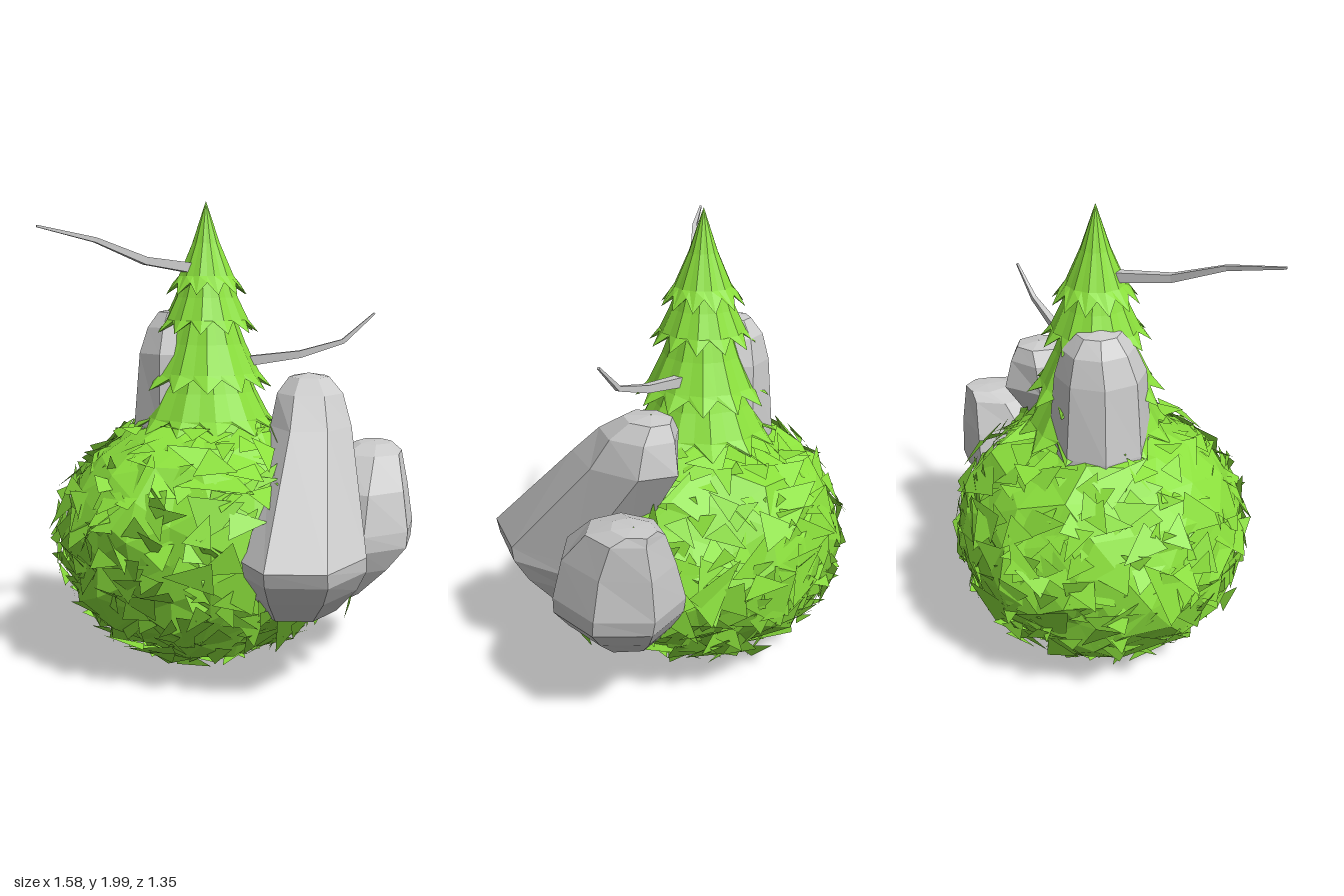
import * as THREE from 'three';

const green = new THREE.MeshStandardMaterial({ color: 0x8be03c, flatShading: true, side: THREE.DoubleSide });
const grey = new THREE.MeshStandardMaterial({ color: 0xcccccc, flatShading: true });

// small seeded random source
function seeded(seed) {
  let s = seed;
  return () => {
    s = (s * 16807) % 2147483647;
    return s / 2147483647;
  };
}

function facets(points) {
  const geo = new THREE.BufferGeometry().setFromPoints(points);
  geo.computeVertexNormals();
  return geo;
}

function addMesh(parent, name, geo, material) {
  const mesh = new THREE.Mesh(geo, material);
  mesh.name = name;
  parent.add(mesh);
}

// skin between closed loops of points, listed from top to bottom
function loft(loops) {
  const out = [];
  for (let k = 0; k + 1 < loops.length; k++) {
    const top = loops[k], low = loops[k + 1], n = top.length;
    for (let i = 0; i < n; i++) {
      const j = (i + 1) % n;
      out.push(top[i], top[j], low[i], top[j], low[j], low[i]);
    }
  }
  return facets(out);
}

// rock ring: [y, centre x, centre z, radius x, radius z]
function rock(rings, sides, phase) {
  return loft(rings.map(([y, cx, cz, rx, rz]) =>
    Array.from({ length: sides }, (_, i) => {
      const a = phase + (i / sides) * Math.PI * 2;
      return new THREE.Vector3(cx + rx * Math.cos(a), y, cz + rz * Math.sin(a));
    })));
}

// one tier of the tree with a zigzag hem and a dark underside
function tier(topY, topR, hemY, hemR, turn) {
  const n = 24, drop = topY - hemY;
  const ring = (r, y, zig) => Array.from({ length: n }, (_, i) => {
    const a = turn + (i / n) * Math.PI * 2, notch = i % 2 ? zig : 0;
    const ridge = (i % 2 ? 0.95 : 1) * (1 - notch) * r;
    return new THREE.Vector3(ridge * Math.cos(a), y + notch * 0.32, ridge * Math.sin(a));
  });
  return loft([
    ring(topR, topY, 0),
    ring(topR + (hemR - topR) * 0.34, topY - drop * 0.45, 0),
    ring(topR + (hemR - topR) * 0.68, topY - drop * 0.8, 0),
    ring(hemR, hemY, 0.16),
    ring(hemR * 0.55, hemY + 0.06, 0),
  ]);
}

// tapered four-sided branch along a path
function branch(path, radius) {
  const pts = path.map((p) => new THREE.Vector3(...p));
  const loops = pts.map((p, i) => {
    const dir = pts[Math.min(i + 1, pts.length - 1)].clone().sub(pts[Math.max(i - 1, 0)]).normalize();
    const side = new THREE.Vector3(0, 1, 0).cross(dir).normalize();
    const up = dir.clone().cross(side);
    const r = radius * (1 - 0.8 * i / (pts.length - 1));
    return [0, 1, 2, 3].map((k) => {
      const a = Math.PI / 4 + k * Math.PI / 2;
      return p.clone().addScaledVector(side, -r * Math.cos(a)).addScaledVector(up, -r * Math.sin(a));
    });
  });
  const cap = (p) => [p, p, p, p];
  return loft([cap(pts[0]), ...loops, cap(pts[pts.length - 1])]);
}

// rough core of the bush: a coarse ball with every vertex pushed in or out
function bushCore(radii) {
  const geo = new THREE.IcosahedronGeometry(1, 3);
  const pos = geo.attributes.position, v = new THREE.Vector3();
  for (let i = 0; i < pos.count; i++) {
    v.fromBufferAttribute(pos, i).normalize();
    const h = Math.sin(Math.round(v.x * 500) * 12.99 + Math.round(v.y * 500) * 78.23 + Math.round(v.z * 500) * 37.72) * 43758.5;
    v.multiplyScalar(0.88 + 0.1 * (h - Math.floor(h))).multiply(radii);
    pos.setXYZ(i, v.x, v.y, v.z);
  }
  geo.computeVertexNormals();
  return geo;
}

// large loose leaf triangles lying at a slant over the core
function bushLeaves(radii, count) {
  const rnd = seeded(4711), out = [];
  for (let i = 0; i < count; i++) {
    const y = 1 - 2 * (i + 0.5) / count, a = i * 2.39996 + rnd() * 0.3, s = Math.sqrt(1 - y * y);
    const n = new THREE.Vector3(s * Math.cos(a), y, s * Math.sin(a));
    const u = new THREE.Vector3(-Math.sin(a), 0, Math.cos(a));
    const w = u.clone().cross(n);
    const size = 0.1 + 0.24 * rnd() * rnd(), spin = rnd() * 6.283;
    const tri = [0, 1, 2].map((k) => {
      const b = spin + k * 2.094 + (rnd() - 0.5) * 1.3;
      const p = n.clone().addScaledVector(u, Math.cos(b) * size).addScaledVector(w, Math.sin(b) * size);
      return p.normalize().multiplyScalar(0.88 + rnd() * 0.145).multiply(radii);
    });
    const face = tri[1].clone().sub(tri[0]).cross(tri[2].clone().sub(tri[0]));
    if (face.dot(n) < 0) tri.reverse();
    out.push(...tri);
  }
  return facets(out);
}

export function createModel() {
  const model = new THREE.Group();
  model.name = 'bushWithTreeAndRocks';

  // bush
  const bush = new THREE.Group();
  bush.name = 'bush';
  bush.position.set(-0.11, 0.57, -0.03);
  const radii = new THREE.Vector3(0.67, 0.565, 0.65);
  addMesh(bush, 'bushCore', bushCore(radii), green);
  addMesh(bush, 'bushLeaves', bushLeaves(radii, 520), green);
  model.add(bush);

  // leaves sticking out between the two big rocks
  const leaf = [[0.55, 0.8, 0.06], [0.56, 0.35, 0.18], [0.58, 0.5, 0.02], [0.56, 0.35, 0.18], [0.52, 0.22, 0], [0.58, 0.5, 0.02]];
  addMesh(model, 'gapLeaves', facets(leaf.map((p) => new THREE.Vector3(...p)).reverse()), green);

  // conifer
  const tree = new THREE.Group();
  tree.name = 'tree';
  tree.position.set(-0.1, 0, -0.05);
  [
    [2.0, 0.001, 1.61, 0.178],
    [1.72, 0.09, 1.45, 0.225],
    [1.56, 0.11, 1.21, 0.285],
    [1.34, 0.16, 1.03, 0.33],
  ].forEach((t, i) => addMesh(tree, 'treeTier' + (i + 1), tier(...t, i * 0.4), green));
  model.add(tree);

  // bare branches
  addMesh(model, 'upperBranch', branch([[-0.14, 1.72, 0], [-0.3, 1.75, 0.19], [-0.46, 1.83, 0.34], [-0.65, 1.88, 0.48]], 0.03), grey);
  addMesh(model, 'lowerBranch', branch([[0.08, 1.325, -0.09], [0.3, 1.355, -0.12], [0.48, 1.41, -0.16], [0.61, 1.53, -0.2]], 0.03), grey);

  // leaning front rock
  addMesh(model, 'leaningRock', rock([
    [1.27, 0.33, -0.18, 0.002, 0.002],
    [1.255, 0.335, -0.17, 0.09, 0.11],
    [1.19, 0.345, -0.13, 0.145, 0.18],
    [1.06, 0.36, -0.07, 0.175, 0.27],
    [0.6, 0.37, 0.33, 0.27, 0.37],
    [0.54, 0.37, 0.32, 0.27, 0.355],
    [0.45, 0.36, 0.28, 0.24, 0.3],
    [0.33, 0.34, 0.2, 0.17, 0.22],
    [0.24, 0.31, 0.1, 0.002, 0.002],
  ], 7, 0.1), grey);

  // side rock
  addMesh(model, 'sideRock', rock([
    [0.95, 0.61, -0.37, 0.002, 0.002],
    [0.945, 0.61, -0.37, 0.08, 0.1],
    [0.91, 0.6, -0.31, 0.145, 0.165],
    [0.77, 0.58, -0.24, 0.2, 0.26],
    [0.6, 0.56, -0.22, 0.25, 0.29],
    [0.53, 0.555, -0.21, 0.25, 0.28],
    [0.43, 0.51, -0.18, 0.21, 0.23],
    [0.31, 0.45, -0.15, 0.14, 0.14],
    [0.2, 0.39, -0.12, 0.002, 0.002],
  ], 7, -0.4), grey);

  // rock rising beside the tree
  addMesh(model, 'upperRock', rock([
    [1.55, -0.24, -0.08, 0.002, 0.002],
    [1.535, -0.24, -0.08, 0.08, 0.09],
    [1.47, -0.235, -0.08, 0.135, 0.145],
    [1.36, -0.23, -0.07, 0.175, 0.185],
    [1.05, -0.22, -0.07, 0.215, 0.21],
    [0.8, -0.22, -0.07, 0.21, 0.2],
    [0.7, -0.22, -0.07, 0.002, 0.002],
  ], 8, 0.2), grey);

  return model;
}
